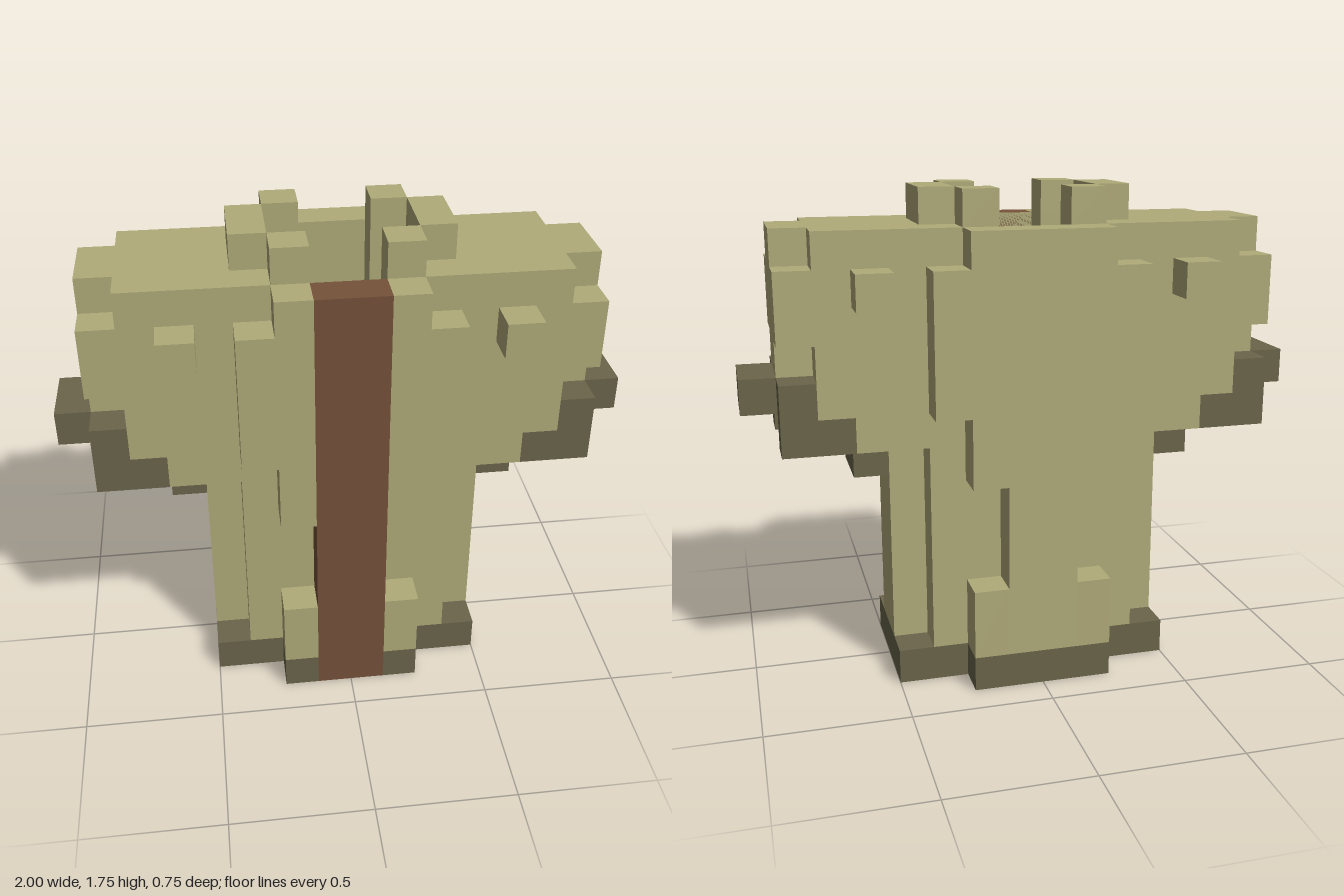
import * as THREE from 'three';

const U = 0.125; // one block

export function createModel() {
  const model = new THREE.Group();
  model.name = 'blockCoat';
  const mat = (name, color) => {
    const m = new THREE.MeshStandardMaterial({ color });
    m.name = name;
    return m;
  };
  const cloth = mat('khaki cloth', 0xb0ab79);
  const trim = mat('dark trim', 0x6a654a);
  const placket = mat('brown placket', 0x75523a);
  const lining = mat('black lining', 0x222222);

  // Box between block coordinates
  const box = (name, m, x0, x1, y0, y1, z0, z1) => {
    const g = new THREE.BoxGeometry((x1 - x0) * U, (y1 - y0) * U, (z1 - z0) * U);
    const mesh = new THREE.Mesh(g, m);
    mesh.position.set((x0 + x1) * U / 2, (y0 + y1) * U / 2, (z0 + z1) * U / 2);
    mesh.name = name;
    model.add(mesh);
  };
  // Box mirrored left and right
  const pair = (name, m, x0, x1, y0, y1, z0, z1) => {
    box(name, m, x0, x1, y0, y1, z0, z1);
    box(name, m, -x1, -x0, y0, y1, z0, z1);
  };
  // Box mirrored left, right, front and back
  const quad = (name, m, x0, x1, y0, y1, z0, z1) => {
    pair(name, m, x0, x1, y0, y1, z0, z1);
    pair(name, m, x0, x1, y0, y1, -z1, -z0);
  };
  // Plan outline extruded upward
  const slab = (name, m, outline, hole, y0, y1) => {
    const pts = (a) => a.map(([x, z]) => new THREE.Vector2(x * U, z * U));
    const shape = new THREE.Shape(pts(outline));
    if (hole) shape.holes.push(new THREE.Path(pts(hole)));
    const g = new THREE.ExtrudeGeometry(shape, { depth: (y1 - y0) * U, bevelEnabled: false });
    g.rotateX(-Math.PI / 2);
    const mesh = new THREE.Mesh(g, m);
    mesh.position.y = y0 * U;
    mesh.name = name;
    model.add(mesh);
  };

  // Chest with a cross-shaped neck opening
  const cross = [[-2, -1], [-1, -1], [-1, -2], [1, -2], [1, -1], [2, -1],
    [2, 1], [1, 1], [1, 2], [-1, 2], [-1, 1], [-2, 1]];
  slab('chest', cloth, [[-4, -2], [4, -2], [4, 2], [-4, 2]], cross, 7, 13);
  slab('neckLining', lining, cross, null, 7, 7.07);

  // Collar
  pair('collarSide', cloth, 2, 3, 13, 14, -1, 1);
  quad('collarCorner', cloth, 1, 2, 13, 14, 1, 2);

  // Centre panels
  box('frontPlacket', placket, -1, 1, 0, 13, 2, 3);
  box('backPanel', cloth, -1, 1, 1, 13, -3, -2);

  // Raised lapels, hem folds and buttons
  quad('lapelInner', cloth, 1, 2, 6, 13, 2, 3);
  quad('lapelOuter', cloth, 2, 3, 8, 12, 2, 3);
  quad('hemFold', cloth, 1, 2, 1, 3, 2, 3);
  quad('chestButton', cloth, 4, 5, 11, 12, 2, 3);

  // Hollow skirt walls
  pair('skirtSide', cloth, 3, 4, 1, 7, -1, 1);
  quad('skirtCorner', cloth, 2, 3, 1, 7, 1, 2);
  quad('skirtFold', cloth, 1, 2, 3, 7, 1, 2);

  // Hem ring
  pair('hemSide', trim, 3, 4, 0, 1, -1, 1);
  quad('hemCorner', trim, 2, 4, 0, 1, 1, 2);
  quad('hemFront', trim, 1, 2, 0, 1, 2, 3);
  box('hemBack', trim, -1, 1, 0, 1, -3, -2);

  // Sleeves
  pair('sleeveInner', cloth, 4, 5, 7, 13, -2, 2);
  pair('sleeveMiddle', cloth, 5, 6, 9, 13, -2, 2);
  quad('sleeveFlank', cloth, 5, 6, 8, 9, 1, 2);
  pair('sleeveOuter', cloth, 6, 7, 9, 13, -1, 1);
  quad('sleeveOuterFlank', cloth, 6, 7, 10, 12, 1, 2);

  // Slanted cuffs
  quad('cuffFlank', trim, 5, 7, 7, 8, 1, 2);
  quad('cuffFlankTop', trim, 6, 7, 8, 9, 1, 2);
  pair('cuffOuter', trim, 7, 8, 8, 9, -1, 1);
  pair('cuffMiddle', trim, 5, 6, 7, 8, -1, 1);
  pair('cuffInner', trim, 4, 5, 6, 7, -1, 1);

  return model;
}
